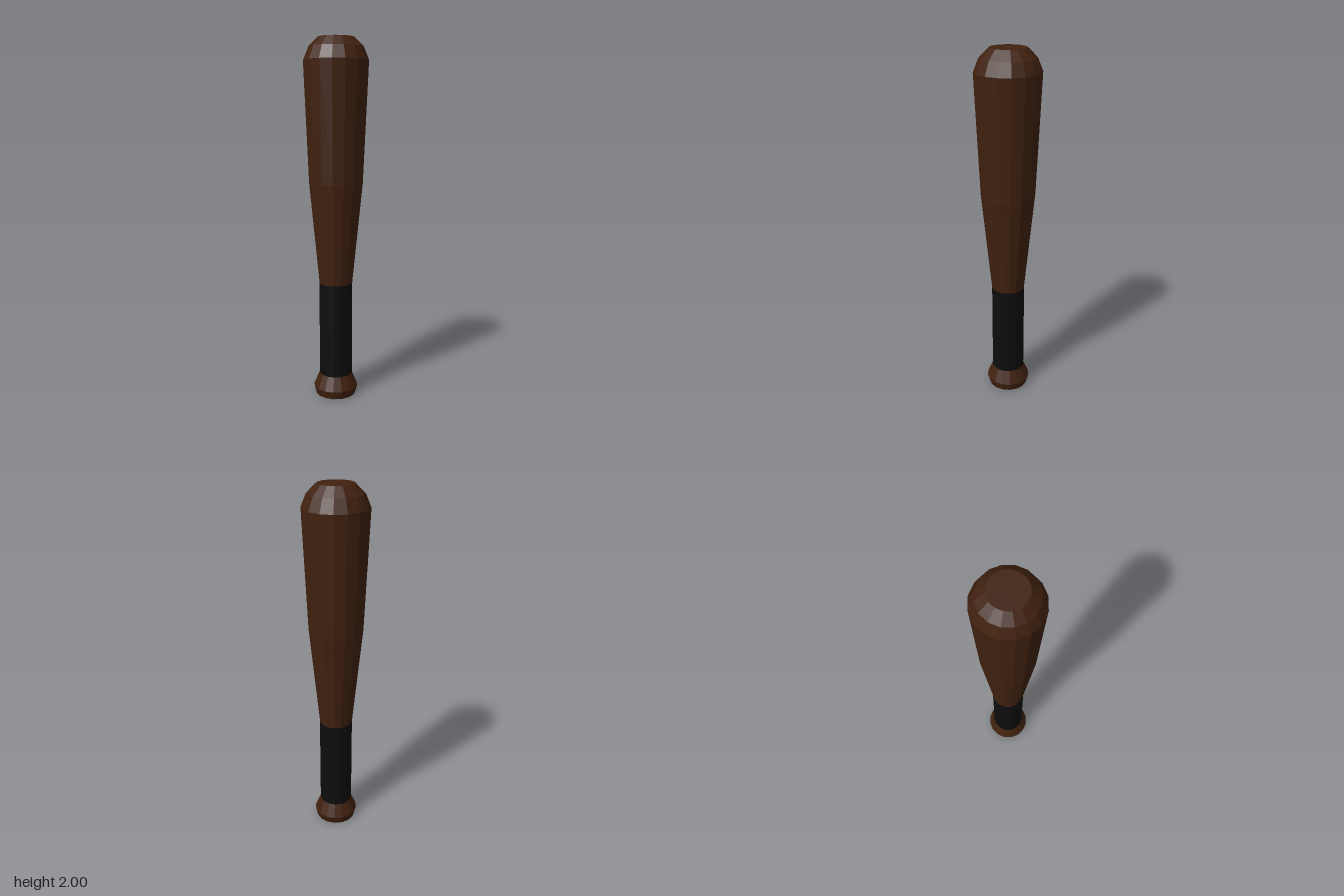
import * as THREE from 'three';

const SIDES = 16;

// Faceted turned part from [radius, height] pairs, listed bottom to top
function turned(name, profile, color) {
  const points = profile.map(([r, y]) => new THREE.Vector2(r, y));
  const material = new THREE.MeshStandardMaterial({ color, flatShading: true });
  const mesh = new THREE.Mesh(new THREE.LatheGeometry(points, SIDES), material);
  mesh.name = name;
  return mesh;
}

export function createModel() {
  const wood = 0x40210f;
  const wrap = 0x0d0d0d;
  const model = new THREE.Group();
  model.name = 'bat';

  // Flared knob with a flat base
  model.add(turned('knob', [[0, 0], [0.113, 0], [0.125, 0.045], [0.093, 0.122]], wood));

  // Straight wrapped handle
  model.add(turned('gripWrap', [[0.093, 0.122], [0.093, 0.655]], wrap));

  // Tapered barrel with a rounded, flat-topped end
  model.add(turned('barrel', [
    [0.093, 0.655], [0.149, 1.22], [0.178, 1.88], [0.149, 1.95], [0.098, 2], [0, 2],
  ], wood));

  return model;
}
